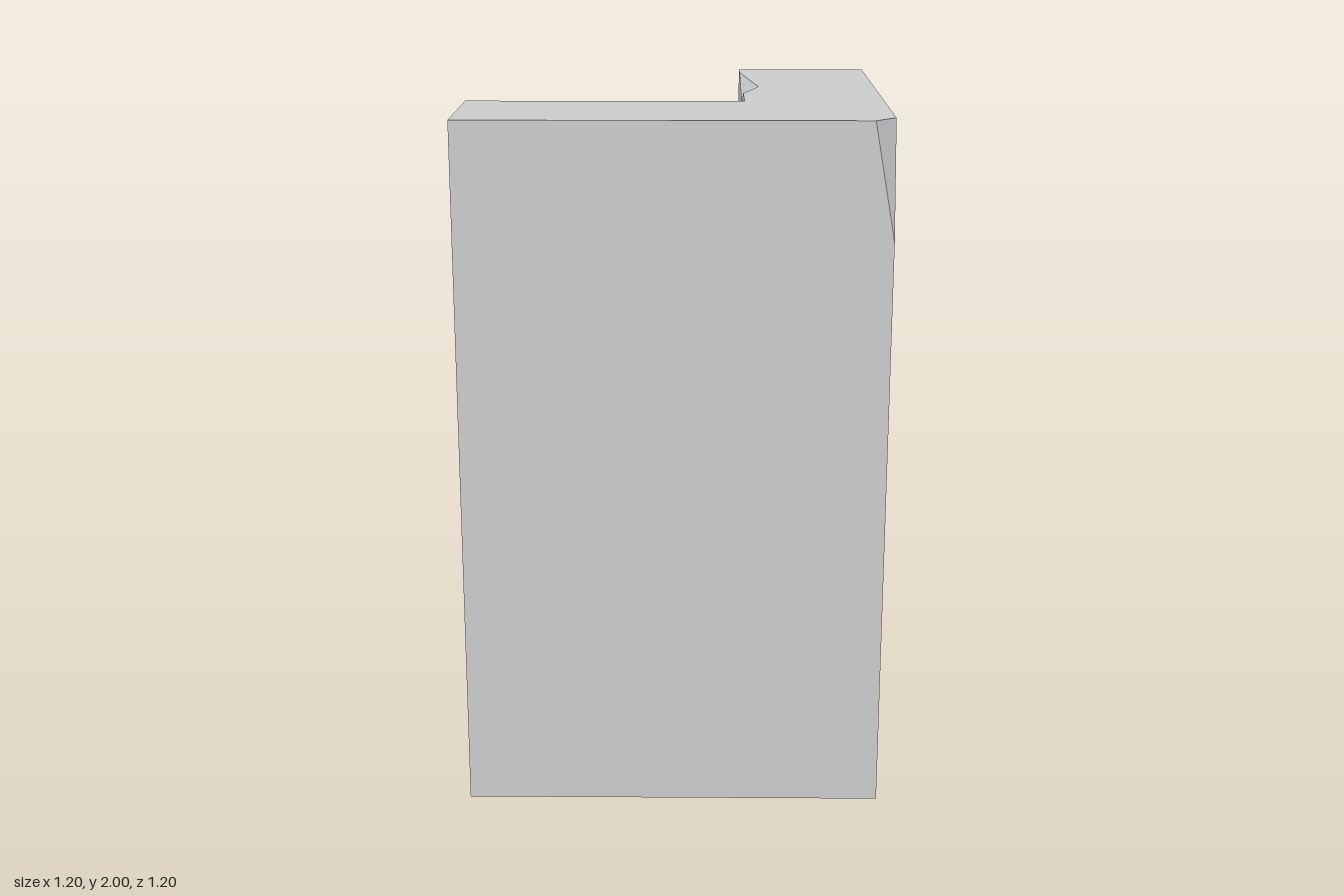
import * as THREE from 'three';
import { mergeGeometries } from 'three/addons/utils/BufferGeometryUtils.js';

const H = 2;
const at = (x, y, z) => new THREE.Vector3(x, y, z);

// Flat polygon in space, corners anticlockwise as seen from outside.
function face(points) {
  const n = at(0, 0, 0);
  points.forEach((p, i) => n.add(p.clone().cross(points[(i + 1) % points.length])));
  n.normalize();
  const u = points[1].clone().sub(points[0]).normalize();
  const v = n.clone().cross(u);
  const flat = points.map(p => new THREE.Vector2(p.dot(u), p.dot(v)));
  const corners = THREE.ShapeUtils.triangulateShape(flat, []).flat().map(i => points[i]);
  const geometry = new THREE.BufferGeometry().setFromPoints(corners);
  geometry.computeVertexNormals();
  return geometry;
}

export function createModel() {
  const group = new THREE.Group();
  group.name = 'cornerBlock';
  const material = new THREE.MeshStandardMaterial({ color: 0xcccccc, flatShading: true });
  const add = (name, faces) => {
    const mesh = new THREE.Mesh(mergeGeometries(faces), material);
    mesh.name = name;
    group.add(mesh);
  };

  // Chip at the outer corner
  const chipFront = at(0.54, H, 0.6), chipSide = at(0.6, H, 0.54), chipTip = at(0.6, 1.67, 0.6);
  // Nick in the inner top edge
  const nickBack = at(0.2, H, -0.51), nickDeep = at(0.25, H, -0.14);
  const nickFront = at(0.2, H, 0.02), nickLow = at(0.2, 1.95, -0.14);

  // L-shaped plan, anticlockwise from above
  const plan = [[-0.6, 0.6], [0.6, 0.6], [0.6, -0.6], [0.2, -0.6], [0.2, 0.2], [-0.6, 0.2]];
  const low = plan.map(([x, z]) => at(x, 0, z));
  const high = plan.map(([x, z]) => at(x, H, z));

  // Upper rim of each wall, from its end back to its start
  const rims = plan.map((_, i) => [high[(i + 1) % 6], high[i]]);
  rims[0] = [chipTip, chipFront, high[0]];
  rims[1] = [high[2], chipSide, chipTip];
  rims[3] = [high[4], nickFront, nickLow, nickBack, high[3]];

  add('walls', rims.map((rim, i) => face([low[i], low[(i + 1) % 6], ...rim])));
  add('top', [face([high[0], chipFront, chipSide, high[2], high[3],
    nickBack, nickDeep, nickFront, high[4], high[5]])]);
  add('base', [face([...low].reverse())]);
  add('cornerChip', [face([chipTip, chipSide, chipFront])]);
  add('edgeNick', [face([nickLow, nickFront, nickDeep]), face([nickLow, nickDeep, nickBack])]);
  return group;
}
